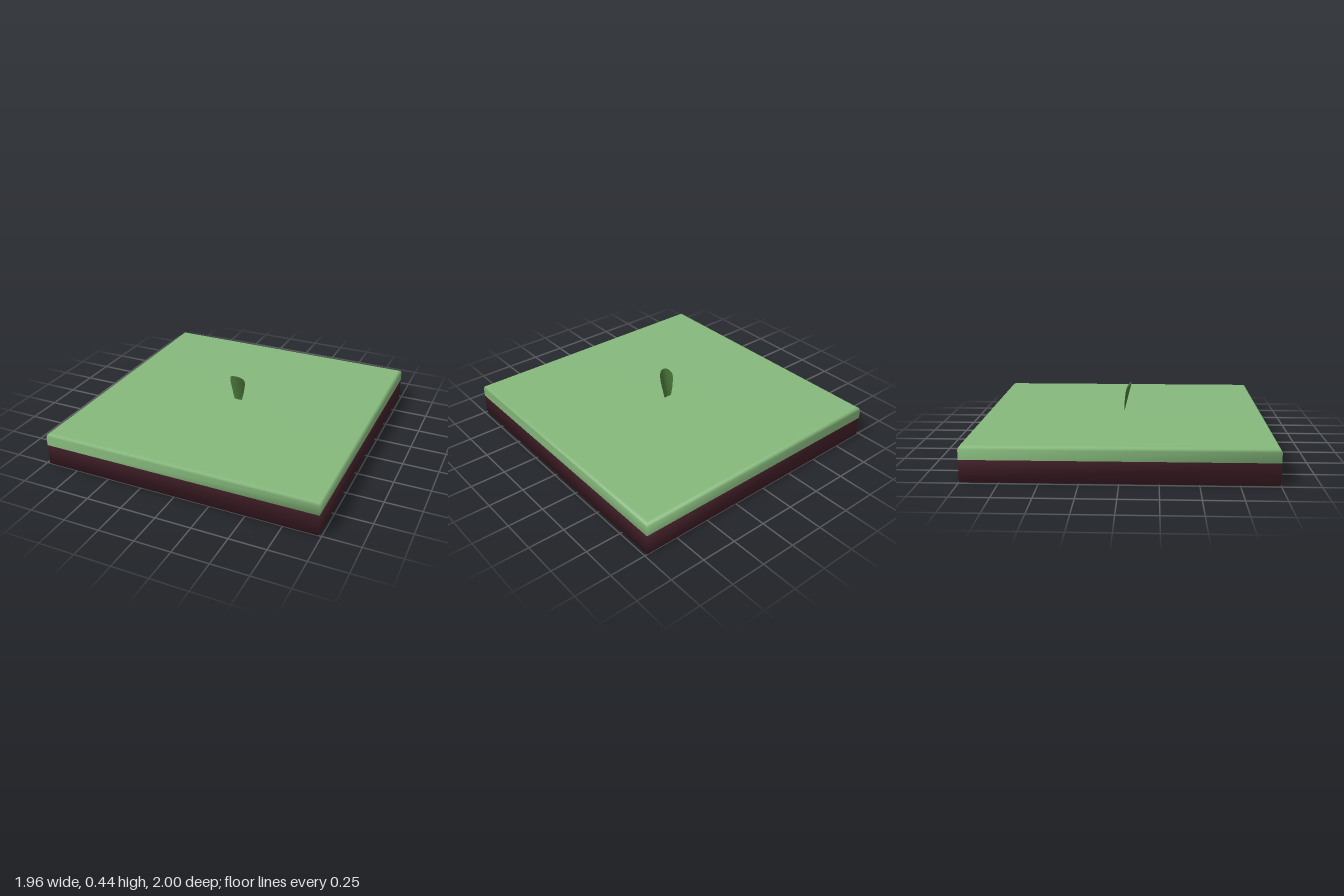
import * as THREE from 'three';

const HALF_X = 0.98, HALF_Z = 1;
const CORNERS = [[1, 1], [1, -1], [-1, -1], [-1, 1]];

// Rectangular slab from stacked [height, inset] rings, closed at one end, with shared smooth normals
function slab(name, color, rings, capTop) {
  const pos = [], idx = [];
  for (const [y, inset] of rings)
    for (const [sx, sz] of CORNERS) pos.push(sx * (HALF_X - inset), y, sz * (HALF_Z - inset));
  for (let i = 0; i < rings.length - 1; i++)
    for (let j = 0; j < 4; j++) {
      const a = i * 4 + j, b = i * 4 + (j + 1) % 4;
      idx.push(a, b, b + 4, a, b + 4, a + 4);
    }
  const t = (rings.length - 1) * 4;
  if (capTop) idx.push(t, t + 1, t + 2, t, t + 2, t + 3);
  else idx.push(0, 2, 1, 0, 3, 2);
  return surface(name, color, pos, idx);
}

function surface(name, color, pos, idx, side = THREE.FrontSide) {
  const geo = new THREE.BufferGeometry();
  geo.setAttribute('position', new THREE.Float32BufferAttribute(pos, 3));
  geo.setIndex(idx);
  geo.computeVertexNormals();
  const mesh = new THREE.Mesh(geo, new THREE.MeshStandardMaterial({ color, side }));
  mesh.name = name;
  return mesh;
}

// Leaning leaf blade, bowed forward along its middle
function leaf() {
  const rows = [ // height, half width
    [0.225, 0.016], [0.235, 0.028], [0.25, 0.034], [0.3, 0.045], [0.35, 0.054], [0.38, 0.058],
    [0.4, 0.057], [0.417, 0.051], [0.43, 0.042], [0.44, 0.027], [0.445, 0.01],
  ];
  const cols = 8, pos = [], idx = [];
  rows.forEach(([y, w], r) => {
    for (let c = 0; c <= cols; c++) {
      const x = w * (2 * c / cols - 1);
      pos.push(x, y, Math.max(0, (y - 0.23) * 0.245 - 8 * x * x));
      if (r && c) {
        const d = r * (cols + 1) + c, b = d - cols - 1;
        idx.push(b - 1, b, d, b - 1, d, d - 1);
      }
    }
  });
  return surface('leaf', 0x4c7a3c, pos, idx, THREE.DoubleSide);
}

export function createModel() {
  const group = new THREE.Group();
  group.name = 'grassTile';
  group.add(
    slab('soil', 0x47222c, [[0, 0], [0.145, 0]], false),
    slab('grass', 0x86b97c, [[0.145, 0], [0.212, 0], [0.228, 0.007], [0.235, 0.024]], true),
    leaf(),
  );
  return group;
}
